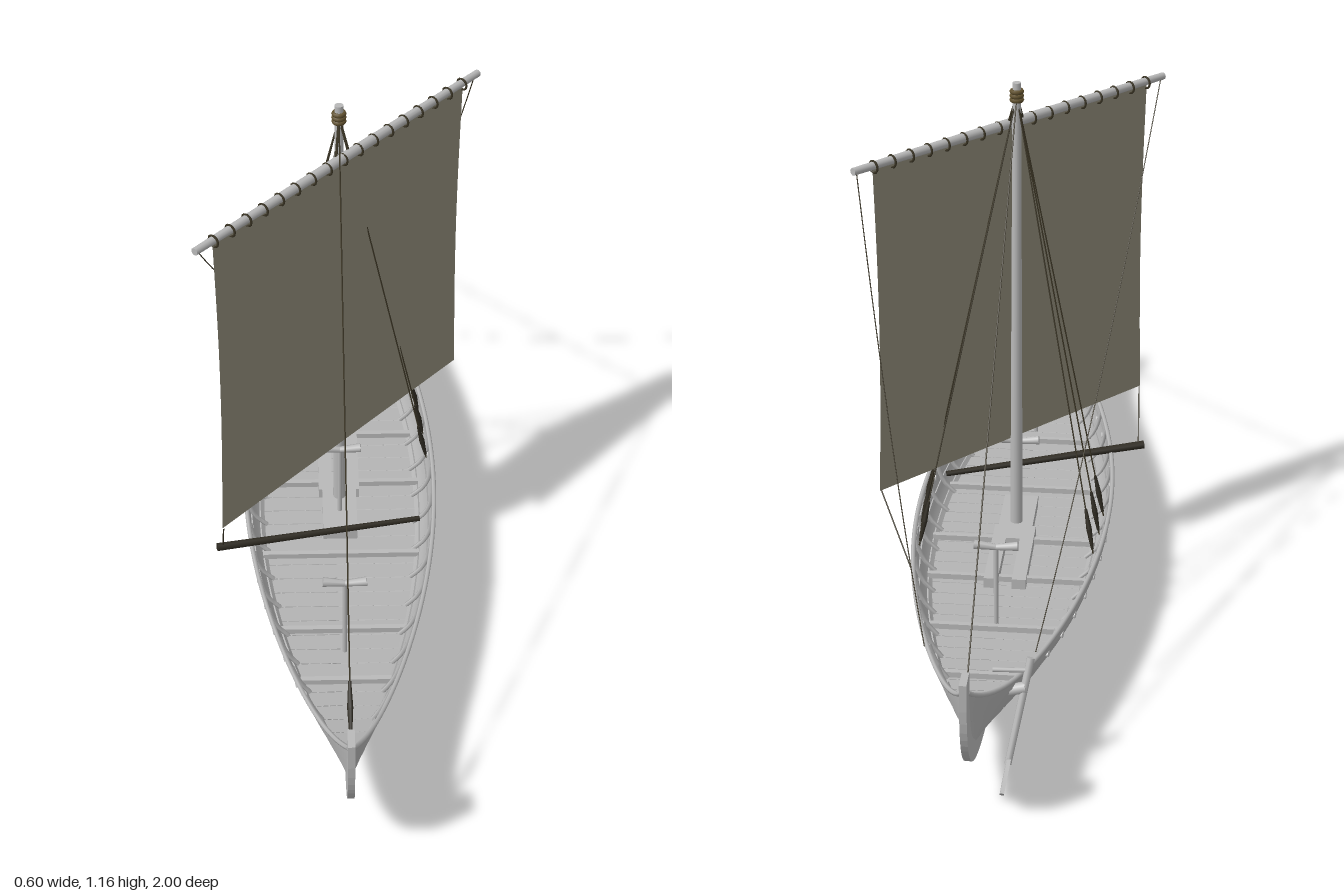
import * as THREE from 'three';
import { mergeGeometries } from 'three/addons/utils/BufferGeometryUtils.js';

const mat = (name, color, side = THREE.FrontSide) => {
  const m = new THREE.MeshStandardMaterial({ color, side });
  m.name = name;
  return m;
};
const V = (x, y, z) => new THREE.Vector3(x, y, z);

// Hull lines: sheer height, keel line and half beam along the length
const END = 0.965;
const sheer = z => 0.2 + 0.1 * Math.pow(Math.abs(z) / 0.95, 7);
const keelLine = z => 0.05 + 0.3 * (1 - Math.pow(1 - Math.pow(Math.abs(z) / 0.978, 3.5), 1 / 3.5));
const halfBeam = z => 0.005 + 0.203 * Math.pow(Math.max(0, 1 - (z / END) ** 2), 1.1);

// Midship section as (share of beam, share of depth), gunwale to keel
const section = new THREE.SplineCurve([
  [1, 0], [0.976, 0.23], [0.88, 0.47], [0.71, 0.63], [0.48, 0.75], [0.24, 0.85], [0.03, 1],
].map(p => new THREE.Vector2(...p)));

// Point on the hull; the section turns from round to V-shaped toward the ends
function hullPoint(z, t, side, out = 0) {
  const p = section.getPoint(t);
  const e = Math.pow(Math.abs(z) / END, 3);
  const f = THREE.MathUtils.lerp(p.x, Math.pow(Math.max(0, 1 - p.y), 1.2), e);
  const b = halfBeam(z), o = out * Math.min(1, b / 0.05);
  return V(side * (b * f + o), sheer(z) - (sheer(z) - keelLine(z)) * p.y - o * 0.5, z);
}

// Surface grid from a rule fn(u, v)
function grid(nu, nv, fn) {
  const pos = [], idx = [];
  for (let i = 0; i <= nu; i++) for (let j = 0; j <= nv; j++) pos.push(...fn(i / nu, j / nv).toArray());
  for (let i = 0; i < nu; i++) for (let j = 0; j < nv; j++) {
    const a = i * (nv + 1) + j, b = a + nv + 1;
    idx.push(a, b, a + 1, b, b + 1, a + 1);
  }
  const g = new THREE.BufferGeometry();
  g.setAttribute('position', new THREE.Float32BufferAttribute(pos, 3));
  g.setIndex(idx);
  g.computeVertexNormals();
  return g;
}

// Round bar between two points
function bar(a, b, r0, r1 = r0, sides = 8) {
  const d = b.clone().sub(a);
  const g = new THREE.CylinderGeometry(r1, r0, d.length(), sides);
  g.applyQuaternion(new THREE.Quaternion().setFromUnitVectors(V(0, 1, 0), d.normalize()));
  const m = a.clone().add(b).multiplyScalar(0.5);
  return g.translate(m.x, m.y, m.z);
}

// Rope with optional sag
function rope(a, b, sag = 0, r = 0.0016) {
  const m = a.clone().lerp(b, 0.5);
  m.y -= sag;
  const c = new THREE.QuadraticBezierCurve3(a, m, b);
  return new THREE.TubeGeometry(c, sag ? 20 : 1, r, 5);
}

export function createModel() {
  const wood = mat('greyWood', 0xb9b9b9);
  const plank = mat('greyPlanking', 0xb4b4b4, THREE.DoubleSide);
  const pale = mat('paleWood', 0xd0d0d0);
  const cloth = mat('sailCloth', 0x918d7b, THREE.DoubleSide);
  const cord = mat('darkRope', 0x3a3424);
  const lash = mat('brownLashing', 0x62522f);
  const tarred = mat('tarredSpar', 0x2f2b22);

  const model = new THREE.Group();
  const hull = new THREE.Group();
  hull.name = 'hull';
  hull.position.x = -0.006;
  model.add(hull);
  const add = (parent, name, geos, material) => {
    const list = [].concat(geos);
    const m = new THREE.Mesh(list.length > 1 ? mergeGeometries(list) : list[0], material);
    m.name = name;
    parent.add(m);
    return m;
  };

  // Overlapping strakes, each with a small lap step
  const strakes = [], ribs = [], rails = [], holes = [];
  const N = 8;
  const along = u => END * Math.sin((u - 0.5) * Math.PI);
  for (const s of [-1, 1]) {
    for (let k = 0; k < N; k++) {
      strakes.push(grid(56, 3, (u, v) => hullPoint(along(u), (k + v) / N, s, 0.003 * v)));
      if (k < N - 1) strakes.push(grid(56, 1, (u, v) => hullPoint(along(u), (k + 1) / N, s, 0.003 * (1 - v))));
    }
    // Gunwale rail
    const edge = [];
    for (let i = 0; i <= 40; i++) edge.push(hullPoint(along(i / 40), 0, s));
    rails.push(new THREE.TubeGeometry(new THREE.CatmullRomCurve3(edge), 80, 0.005, 6));
    // Ribs inside the planking
    for (let i = -9; i <= 9; i++) {
      const pts = [0, 0.14, 0.28, 0.42].map(t => hullPoint(i * 0.09, t, s, -0.004));
      ribs.push(new THREE.TubeGeometry(new THREE.CatmullRomCurve3(pts), 6, 0.005, 5));
    }
    // Oar ports
    for (let i = 0; i < 16; i++) {
      const p = hullPoint(0.65 - i * 0.082, 0.17, s, 0.002);
      const yaw = Math.atan2(halfBeam(p.z - 0.01) - halfBeam(p.z + 0.01), 0.02);
      const g = new THREE.CylinderGeometry(0.007, 0.007, 0.006, 10).rotateZ(Math.PI / 2);
      holes.push(g.rotateY(-s * yaw).translate(p.x, p.y, p.z));
    }
  }
  add(hull, 'strakes', strakes, plank);
  add(hull, 'gunwales', rails, wood);
  add(hull, 'ribs', ribs, wood);
  add(hull, 'oarPorts', holes, pale);

  // Keel sweeping up into both stems
  const rim = (len, deep, a) => {
    const c = Math.cos(a), s = Math.abs(Math.sin(a)), q = 2 / 3.5;
    return new THREE.Vector2(len * Math.sign(c) * Math.pow(Math.abs(c), q), 0.348 - deep * Math.pow(s, q));
  };
  const outer = [], inner = [];
  for (let i = 0; i <= 64; i++) {
    const a = Math.PI * (1 + i / 64);
    outer.push(rim(1, 0.32, a));
    inner.unshift(rim(0.952, 0.288, a));
  }
  const keel = new THREE.ExtrudeGeometry(new THREE.Shape([...outer, ...inner]), { depth: 0.014, bevelEnabled: false });
  add(hull, 'keelAndStems', keel.rotateY(-Math.PI / 2).translate(0.007, 0, 0), wood);

  // Deck boards laid crosswise
  const boards = [];
  const B = 40;
  for (let i = 0; i < B; i++) {
    const z0 = -0.9 + 1.8 * i / B, w = 1.8 / B - 0.002;
    boards.push(grid(1, 2, (u, v) => {
      const p = hullPoint(z0 + u * w, 0.417, 1);
      return V(p.x * (v * 2 - 1), p.y, p.z);
    }));
  }
  add(hull, 'deckBoards', boards, plank);

  // Cross beams resting on the deck
  const beams = [-0.75, -0.62, -0.42, -0.21, -0.04, 0.2, 0.44, 0.6].map(z => {
    const p = hullPoint(z, 0.36, 1);
    return new THREE.BoxGeometry(p.x * 2, 0.012, 0.012).translate(0, p.y, z);
  });
  add(hull, 'crossBeams', beams, wood);

  // Mast step block
  add(hull, 'mastStep', [
    new THREE.BoxGeometry(0.075, 0.025, 0.2).translate(0, 0.127, 0.04),
    new THREE.BoxGeometry(0.03, 0.025, 0.24).translate(0.03, 0.127, -0.12),
    new THREE.BoxGeometry(0.03, 0.025, 0.24).translate(-0.03, 0.127, -0.12),
  ], wood);

  // Spar crutches with T-shaped heads
  const crutches = [0.5, 0.07, -0.41].flatMap(z => [
    bar(V(0, 0.11, z), V(0, 0.315, z), 0.005),
    bar(V(-0.006, 0.311, z), V(0.045, 0.316, z), 0.006, 0.01),
    bar(V(0.006, 0.311, z), V(-0.045, 0.316, z), 0.006, 0.01),
  ]);
  add(hull, 'crutches', crutches, wood);

  // Mast and its lashed head
  add(hull, 'mast', bar(V(0, 0.07, 0.02), V(0, 1.16, 0.02), 0.014, 0.009, 14), wood);
  add(hull, 'mastheadLashing', [1.123, 1.132, 1.141].map(y =>
    new THREE.TorusGeometry(0.0105, 0.005, 6, 14).rotateX(Math.PI / 2).translate(0, y, 0.02)), lash);

  // Yard, sail and hoops, swung round the mast
  const rig = new THREE.Group();
  rig.name = 'yardAndSail';
  rig.position.set(0.001, 0, 0.06);
  rig.rotation.y = Math.atan2(0.64, 0.585);
  model.add(rig);
  add(rig, 'yard', [
    bar(V(0, 1.06, 0), V(0.433, 1.06, 0), 0.011, 0.008, 10),
    bar(V(0, 1.06, 0), V(-0.433, 1.06, 0), 0.011, 0.008, 10),
  ], wood);
  add(rig, 'sail', grid(20, 20, (u, v) => {
    const pinch = 1 - 0.022 * Math.sin(v * Math.PI);
    return V((u - 0.5) * 0.766 * pinch, 0.328 + 0.724 * v, 0);
  }), cloth);
  const hoops = [];
  for (let i = 0; i < 17; i++) {
    hoops.push(new THREE.TorusGeometry(0.0125, 0.0025, 5, 12).rotateY(Math.PI / 2)
      .translate(-0.38 + i * 0.0475, 1.057, 0));
  }
  add(rig, 'sailHoops', hoops, cord);

  // Standing rigging: stays and three shrouds per side with tackle blocks
  const head = V(-0.006, 1.13, 0.02);
  const lines = [], tackle = [];
  const stay = (foot, blockFrom, blockTo) => {
    lines.push(rope(head, foot));
    const a = foot.clone().lerp(head, blockFrom), b = foot.clone().lerp(head, blockTo), m = a.clone().lerp(b, 0.5);
    tackle.push(bar(a, m, 0.003, 0.006), bar(m, b, 0.006, 0.003));
  };
  stay(V(-0.006, 0.29, 0.96), 0.03, 0.11);
  lines.push(rope(head, V(-0.006, 0.28, -0.965)));
  for (const s of [-1, 1]) {
    for (const z of [-0.04, -0.125, -0.21]) stay(V(s * (halfBeam(z) - 0.012) - 0.006, 0.195, z), 0.01, 0.1);
    // Yard lifts and braces led aft
    lines.push(rope(head, V(s * 0.014, 1.06, 0.06 - s * 0.015), 0, 0.003));
    lines.push(rope(V(s * 0.287, 1.06, 0.06 - s * 0.314), V(s * 0.11, 0.22, -0.66), 0.12, 0.0012));
  }
  // Tack and sheet at the lower sail corners
  lines.push(rope(V(-0.255, 0.33, 0.345), V(-0.26, 0.215, 0.268)));
  lines.push(rope(V(0.257, 0.33, -0.22), V(0.182, 0.2, -0.32)));
  add(model, 'ropes', lines, cord);
  add(model, 'tackleBlocks', tackle, tarred);

  // Tacking spar laid across the hull
  add(model, 'tackingSpar', bar(V(-0.272, 0.214, 0.272), V(0.165, 0.18, 0.15), 0.009, 0.006), tarred);

  // Steering oar on the right quarter, with tiller
  const steer = new THREE.Group();
  steer.name = 'steeringOar';
  model.add(steer);
  add(steer, 'oarShaft', bar(V(-0.108, 0.255, -0.738), V(-0.07, 0.055, -0.808), 0.008, 0.007), wood);
  add(steer, 'tiller', bar(V(-0.108, 0.232, -0.746), V(-0.035, 0.232, -0.75), 0.005), wood);
  add(steer, 'oarMount', bar(V(-0.1, 0.2, -0.757), V(-0.06, 0.19, -0.757), 0.012), wood);
  const blade = new THREE.Shape([[-0.8, 0.068], [-0.815, 0.072], [-0.862, 0.024], [-0.835, 0.001], [-0.81, 0.008]]
    .map(p => new THREE.Vector2(...p)));
  const bladeGeo = new THREE.ExtrudeGeometry(blade, { depth: 0.008, bevelEnabled: false }).rotateY(-Math.PI / 2);
  add(steer, 'oarBlade', bladeGeo.rotateZ(0.18).translate(-0.056, 0, 0), wood);

  return model;
}
